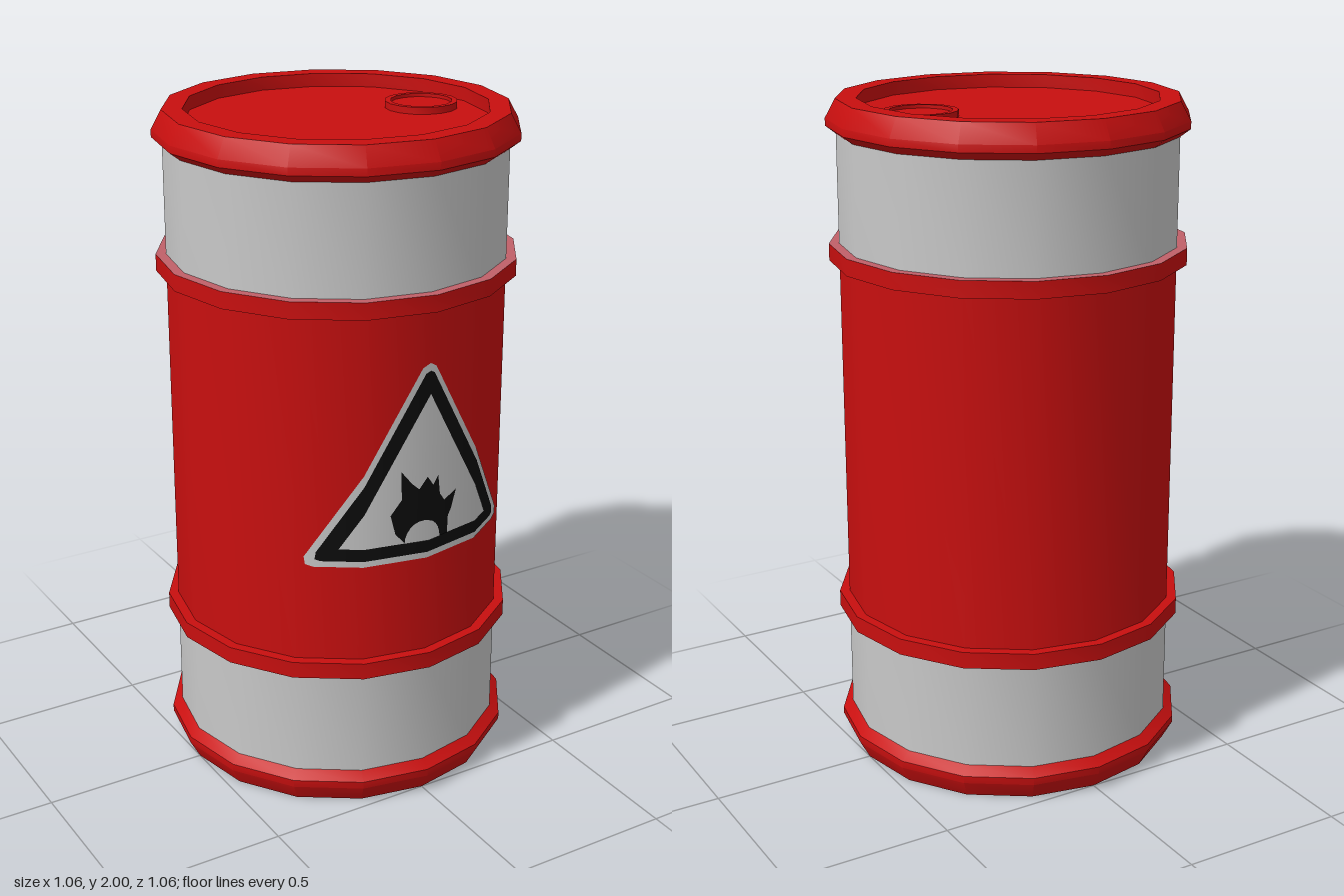
import * as THREE from 'three';
import { toCreasedNormals } from 'three/addons/utils/BufferGeometryUtils.js';

const SIDES = 16;
const R = 0.5;

function material(name, color) {
  const m = new THREE.MeshStandardMaterial({ color });
  m.name = name;
  return m;
}

// Turned part; profile runs from the bottom outwards and up.
function turned(name, profile, mat, sides = SIDES) {
  const points = profile.map(([r, y]) => new THREE.Vector2(r, y));
  const geo = toCreasedNormals(new THREE.LatheGeometry(points, sides), 0.5);
  const mesh = new THREE.Mesh(geo, mat);
  mesh.name = name;
  return mesh;
}

// Corners of the drum wall across the front, as [x, z].
const corners = [-3, -2, -1, 0, 1, 2, 3].map((i) => {
  const a = (i * Math.PI * 2) / SIDES;
  return [R * Math.sin(a), R * Math.cos(a)];
});

// Cut a polygon at a vertical line, keeping the side where sign * (x - limit) >= 0.
function cut(poly, limit, sign) {
  const out = [];
  poly.forEach((p, i) => {
    const q = poly[(i + 1) % poly.length];
    const a = sign * (p[0] - limit), b = sign * (q[0] - limit);
    if (a >= 0) out.push(p);
    if (a * b < 0) {
      const t = a / (a - b);
      out.push([limit, p[1] + (q[1] - p[1]) * t]);
    }
  });
  return out;
}

// Flat outline laid onto the facets of the drum, slightly above the wall.
function decal(name, outline, lift, mat) {
  const group = new THREE.Group();
  group.name = name;
  for (let i = 0; i < corners.length - 1; i++) {
    const [x0, z0] = corners[i], [x1, z1] = corners[i + 1];
    const piece = cut(cut(outline, x0, 1), x1, -1);
    if (piece.length < 3) continue;
    const shape = new THREE.Shape(piece.map(([x, y]) => new THREE.Vector2(x, y)));
    const geo = new THREE.ShapeGeometry(shape);
    const pos = geo.attributes.position, nor = geo.attributes.normal;
    for (let k = 0; k < pos.count; k++) {
      const x = pos.getX(k);
      const z = z0 + ((z1 - z0) * (x - x0)) / (x1 - x0);
      const len = Math.hypot(x, z);
      pos.setZ(k, z + lift);
      nor.setXYZ(k, x / len, 0, z / len);
    }
    const mesh = new THREE.Mesh(geo, mat);
    mesh.name = name + 'Facet';
    group.add(mesh);
  }
  return group;
}

// Complete a right-hand half outline (bottom to top) by mirroring it.
function mirrored(half) {
  return [...half, ...half.slice().reverse().map(([x, y]) => [-x, y])]
    .filter((p, i, all) => i === 0 || p[0] !== all[i - 1][0] || p[1] !== all[i - 1][1]);
}

export function createModel() {
  const red = material('red paint', 0xc80f0f);
  const grey = material('light grey paint', 0xc8c8c8);
  const pink = material('faded red paint', 0xc06068);
  const black = material('black print', 0x0c0c0c);

  const drum = new THREE.Group();
  drum.name = 'drum';

  // Wall in three painted sections
  drum.add(
    turned('lowerWall', [[R, 0.08], [R, 0.45]], grey),
    turned('middleWall', [[R, 0.45], [R, 1.55]], red),
    turned('upperWall', [[R, 1.55], [R, 1.92]], grey),
  );

  // Hoops, each with a faded edge towards the grey section
  drum.add(
    turned('lowerHoop', [[0.53, 0.43], [0.53, 0.48], [R, 0.48]], red),
    turned('lowerHoopEdge', [[R, 0.43], [0.53, 0.43]], pink),
    turned('upperHoop', [[R, 1.53], [0.53, 1.53], [0.53, 1.58]], red),
    turned('upperHoopEdge', [[0.53, 1.58], [R, 1.58]], pink),
  );

  // Recessed base and lid with chamfered rims
  const base = [[0, 0.04], [0.44, 0.04], [0.44, 0], [0.5, 0], [0.53, 0.055], [0.53, 0.077], [0.5, 0.1]];
  const lid = base.map(([r, y]) => [r, 2 - y]).reverse();
  drum.add(turned('base', base, red), turned('lid', lid, red));

  // Filler cap on the lid
  const cap = turned('fillerCap', [[0.107, 0], [0.107, 0.02], [0.09, 0.02], [0.09, 0.01], [0, 0.01]], red);
  cap.position.set(0.287, 1.96, 0);
  drum.add(cap);

  // Warning triangle: pale edge, black border, pale field
  const sign = new THREE.Group();
  sign.name = 'warningSign';
  const edge = mirrored([[0.31, 0.778], [0.33, 0.786], [0.333, 0.81], [0.022, 1.362], [0, 1.375]]);
  const border = mirrored([[0.295, 0.797], [0.308, 0.803], [0.305, 0.825], [0.014, 1.345], [0, 1.353]]);
  const field = mirrored([[0.252, 0.836], [0, 1.285]]);
  sign.add(
    decal('signEdge', edge, 0.002, grey),
    decal('signBorder', border, 0.004, black),
    decal('signField', field, 0.006, grey),
  );

  // Flame symbol with a pale round core
  const flame = [
    [-0.07, 0.836], [0.074, 0.836], [0.076, 0.89], [0.088, 0.91], [0.106, 0.965], [0.06, 0.945],
    [0.042, 0.97], [0.034, 1.03], [0.015, 1.005], [-0.006, 1.035], [-0.03, 1.0],
    [-0.052, 1.02], [-0.085, 1.062], [-0.082, 0.975], [-0.115, 0.93], [-0.1, 0.87],
  ];
  const core = [];
  for (let i = 0; i <= 12; i++) {
    const a = (i * Math.PI) / 12;
    core.push([-0.015 + 0.058 * Math.cos(a), 0.836 + 0.066 * Math.sin(a)]);
  }
  sign.add(decal('flame', flame, 0.008, black), decal('flameCore', core, 0.0095, grey));
  drum.add(sign);

  return drum;
}
